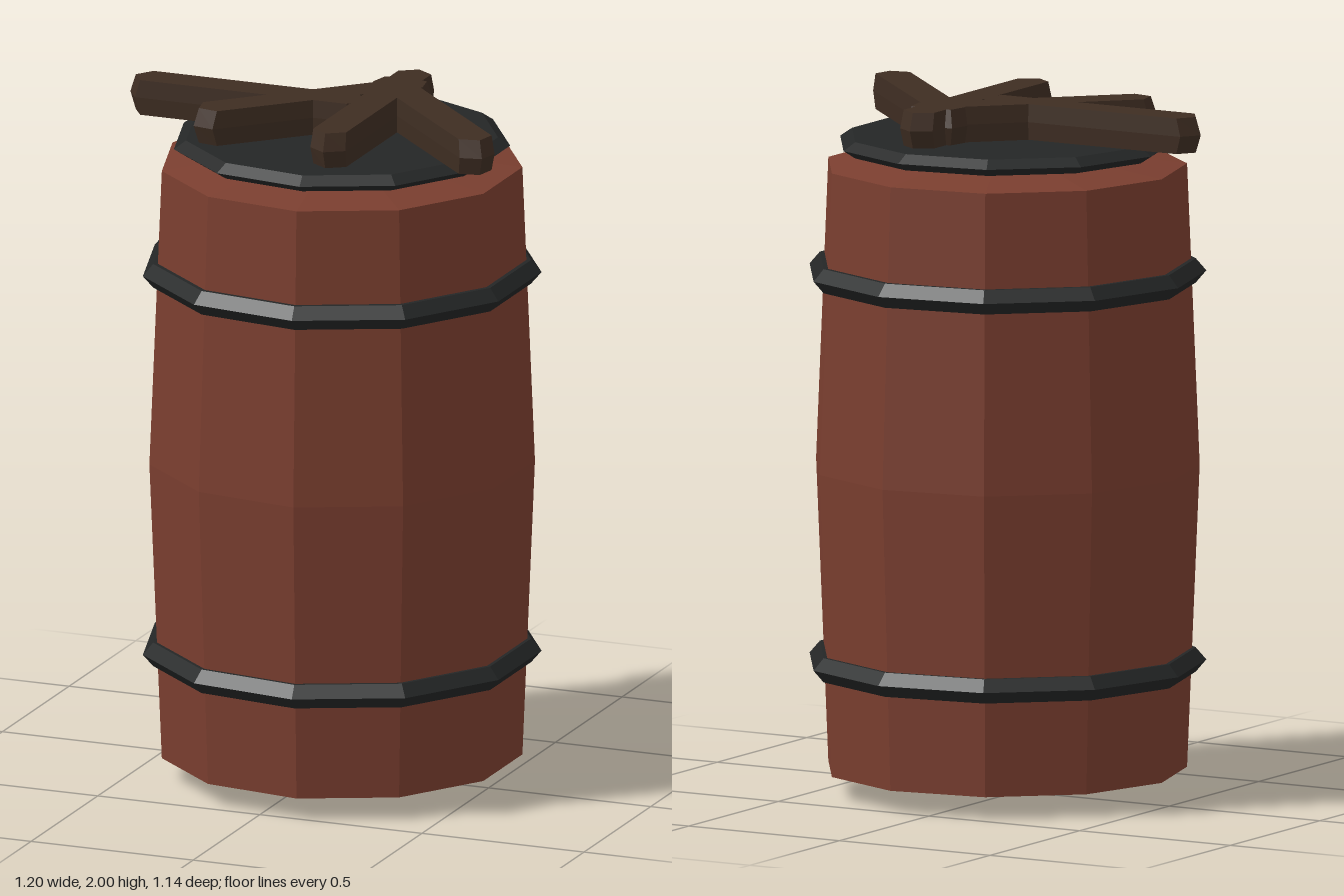
import * as THREE from 'three';

const SIDES = 11;
const AXIS_X = 0.045; // the barrel's axis sits slightly off centre

function material(name, color) {
  const m = new THREE.MeshStandardMaterial({ color, flatShading: true });
  m.name = name;
  return m;
}

// Faceted turned part from [radius, y] pairs, bottom to top, one corner on -x
function turned(name, profile, mat) {
  const points = profile.map(([r, y]) => new THREE.Vector2(r, y));
  const mesh = new THREE.Mesh(new THREE.LatheGeometry(points, SIDES, -Math.PI / 2), mat);
  mesh.name = name;
  mesh.position.x = AXIS_X;
  return mesh;
}

// Bar along x with pointed ends, slightly narrower at its top and bottom faces
function stickGeometry(length, width, height) {
  const l = length / 2, w = width / 2, s = l - 0.036;
  const outline = [[-l, 0], [-s, -w], [s, -w], [l, 0], [s, w], [-s, w]];
  const shape = new THREE.Shape(outline.map(([x, y]) => new THREE.Vector2(x, y)));
  const geo = new THREE.ExtrudeGeometry(shape, { depth: height, steps: 2, bevelEnabled: false });
  geo.rotateX(-Math.PI / 2);
  const p = geo.attributes.position;
  for (let i = 0; i < p.count; i++) {
    if (Math.abs(p.getY(i) - height / 2) > 0.01) {
      p.setX(i, p.getX(i) * 0.955);
      p.setZ(i, p.getZ(i) * 0.94);
    }
  }
  geo.computeVertexNormals();
  return geo;
}

export function createModel() {
  const group = new THREE.Group();
  group.name = 'barrel';
  const wood = material('red brown wood', 0x7a3e2f);
  const iron = material('dark iron', 0x242626);
  const darkWood = material('dark wood', 0x3e2d22);

  // Bulging body with shallow conical ends
  group.add(turned('barrelBody', [
    [0, 0], [0.52, 0.065], [0.556, 0.94], [0.52, 1.81], [0, 1.875],
  ], wood));

  // Hoops with a pointed outer edge
  [['lowerHoop', 0.375], ['upperHoop', 1.5]].forEach(([name, y]) => {
    group.add(turned(name, [
      [0.5, y - 0.035], [0.545, y - 0.035], [0.575, y], [0.545, y + 0.035], [0.5, y + 0.035],
    ], iron));
  });

  // Lid
  group.add(turned('lid', [
    [0, 1.85], [0.45, 1.85], [0.485, 1.873], [0.45, 1.897], [0, 1.897],
  ], iron));

  // Crossed sticks lying on the lid: [name, centre x, turn]
  const stick = stickGeometry(0.738, 0.108, 0.103);
  [
    ['sideStick', -0.236, 0],
    ['middleStick', 0.141, Math.PI / 2],
    ['rightDiagonalStick', -0.042, Math.PI / 4],
    ['leftDiagonalStick', 0.326, -Math.PI / 4],
  ].forEach(([name, x, turn]) => {
    const mesh = new THREE.Mesh(stick, darkWood);
    mesh.name = name;
    mesh.position.set(x, 1.897, 0);
    mesh.rotation.y = turn;
    group.add(mesh);
  });

  return group;
}
